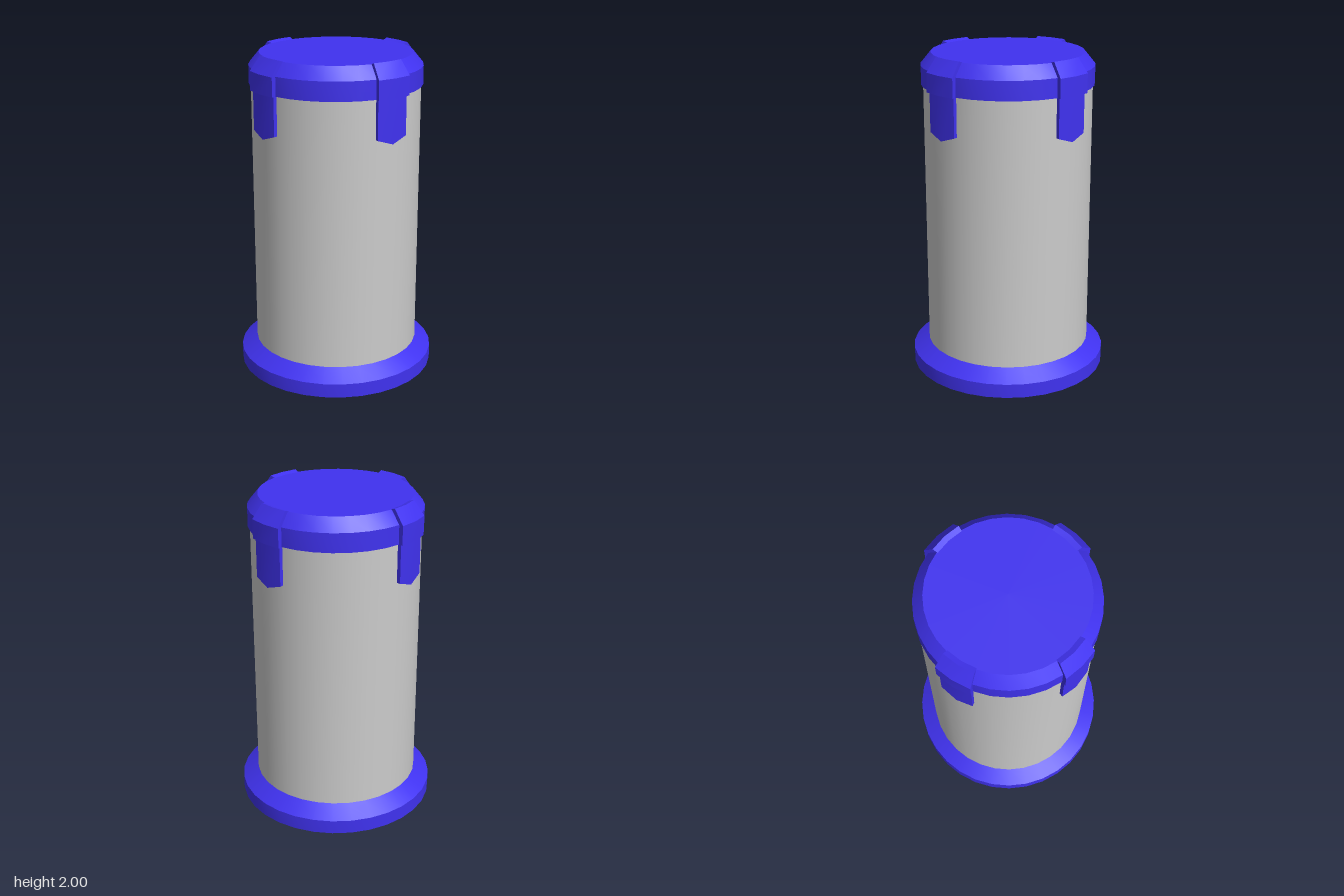
import * as THREE from 'three';
import { toCreasedNormals } from 'three/addons/utils/BufferGeometryUtils.js';

const SIDES = 32;
const STEP = (Math.PI * 2) / SIDES;
const CREASE = 0.45;

const blue = new THREE.MeshStandardMaterial({ color: 0x4032f0 });
const grey = new THREE.MeshStandardMaterial({ color: 0xcccccc });

function addMesh(parent, name, geometry, material) {
  const mesh = new THREE.Mesh(toCreasedNormals(geometry, CREASE), material);
  mesh.name = name;
  parent.add(mesh);
  return mesh;
}

function turned(points) {
  return new THREE.LatheGeometry(points.map(([r, y]) => new THREE.Vector2(r, y)), SIDES);
}

// Solid arc: sweeps a closed convex (radius, height) section over two facets.
// pointDrop lowers the bottom corners at the middle to form a pointed tip.
function arcBlock(section, halfAngle, pointDrop = 0) {
  const n = section.length;
  const bottom = Math.min(...section.map((p) => p[1]));
  const positions = [];
  const index = [];
  for (let i = 0; i < 3; i++) {
    const phi = (i - 1) * halfAngle;
    for (const [r, y] of section) {
      const drop = i === 1 && y === bottom ? pointDrop : 0;
      positions.push(r * Math.sin(phi), y - drop, r * Math.cos(phi));
    }
  }
  for (let i = 0; i < 2; i++) {
    for (let j = 0; j < n; j++) {
      const k = (j + 1) % n;
      const a = i * n + j, b = i * n + k, c = a + n, d = b + n;
      index.push(a, c, d, a, d, b);
    }
  }
  for (let j = 1; j < n - 1; j++) {
    index.push(0, j, j + 1);
    index.push(2 * n, 2 * n + j + 1, 2 * n + j);
  }
  const geometry = new THREE.BufferGeometry();
  geometry.setAttribute('position', new THREE.Float32BufferAttribute(positions, 3));
  geometry.setIndex(index);
  return geometry;
}

export function createModel() {
  const model = new THREE.Group();
  model.name = 'canister';

  // Flared foot with a sloped shoulder
  addMesh(model, 'base', turned([[0, 0], [0.607, 0], [0.607, 0.088], [0.515, 0.15], [0.505, 0.157], [0, 0.157]]), blue);

  // Plain cylindrical wall
  const body = new THREE.CylinderGeometry(0.51, 0.51, 1.66, SIDES, 1, true);
  body.translate(0, 0.98, 0);
  addMesh(model, 'body', body, grey);

  // Lid with a chamfered rim
  addMesh(model, 'lid', turned([[0, 1.8], [0.522, 1.8], [0.522, 1.915], [0.46, 1.99], [0, 1.99]]), blue);

  // Four clasps over the rim, each with a pointed tab; the right one sits one facet forward
  const claspSection = [[0.45, 1.8], [0.55, 1.8], [0.55, 1.915], [0.485, 2], [0.45, 1.989]];
  const tabSection = [[0.49, 1.565], [0.535, 1.565], [0.535, 1.81], [0.49, 1.81]];
  const placements = {
    front: 0,
    left: Math.PI / 2,
    back: Math.PI,
    right: -Math.PI / 2 + STEP,
  };
  for (const [side, angle] of Object.entries(placements)) {
    const clasp = new THREE.Group();
    clasp.name = side + 'Clasp';
    addMesh(clasp, 'claspRim', arcBlock(claspSection, STEP * 1.05), blue);
    addMesh(clasp, 'claspTab', arcBlock(tabSection, STEP, 0.035), blue);
    clasp.rotation.y = angle;
    model.add(clasp);
  }
  return model;
}
